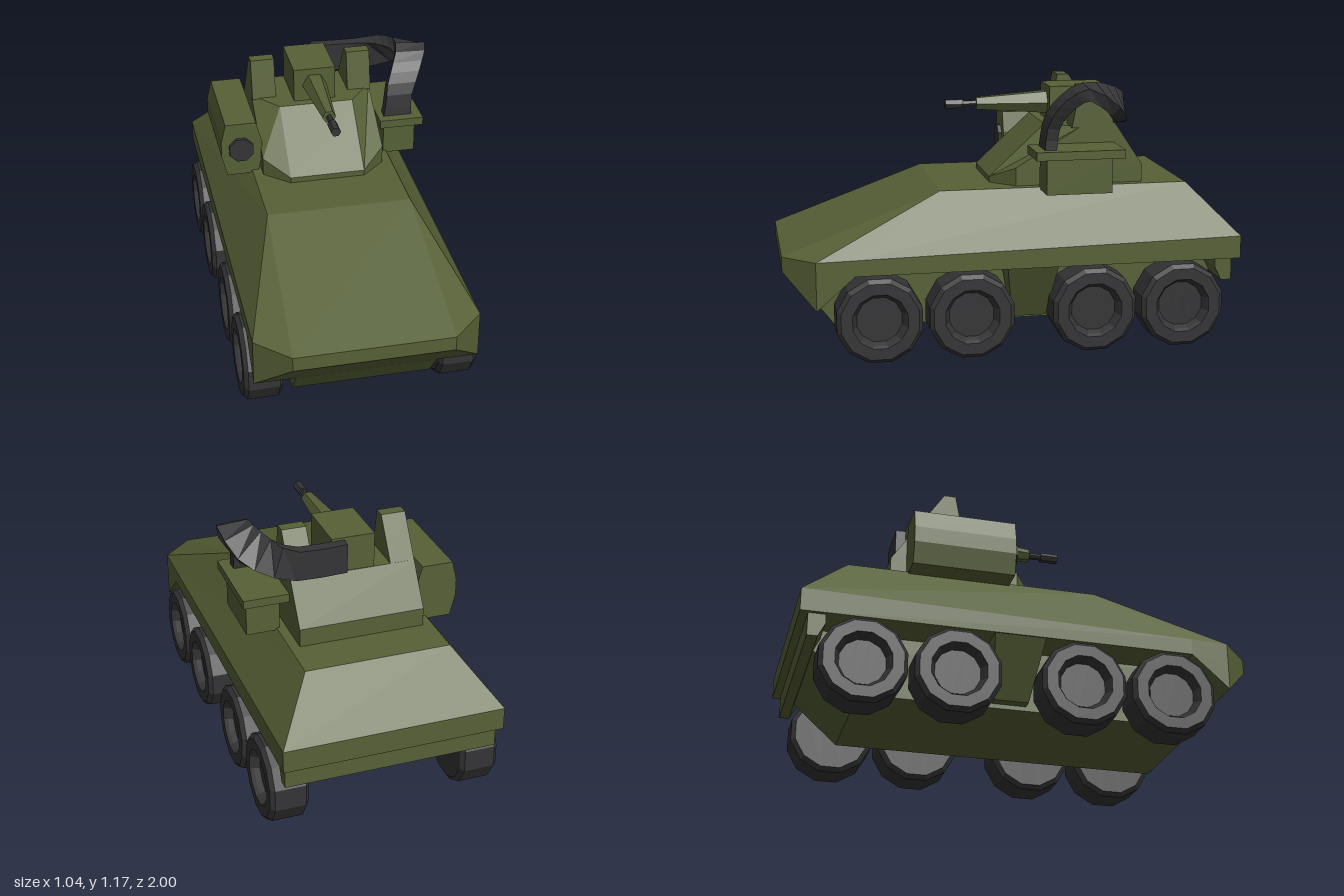
import * as THREE from 'three';

const green = new THREE.MeshStandardMaterial({ color: 0x566036, flatShading: true });
const dark = new THREE.MeshStandardMaterial({ color: 0x343436, flatShading: true });

// Skin a list of equal-length rings of [x, y, z], with both ends closed.
function loft(rings) {
  const tris = [], n = rings[0].length;
  const v = p => new THREE.Vector3(...p);
  const tri = (a, b, c) => {
    const t = new THREE.Triangle(v(a), v(b), v(c));
    if (t.getArea() > 1e-7) tris.push(t);
  };
  const quad = (a, b, c, d) => { tri(a, b, c); tri(a, c, d); };
  for (let i = 0; i + 1 < rings.length; i++) {
    for (let j = 0; j < n; j++) {
      const k = (j + 1) % n;
      quad(rings[i][j], rings[i][k], rings[i + 1][k], rings[i + 1][j]);
    }
  }
  // caps run as strips across each end ring
  const first = rings[0], last = rings[rings.length - 1];
  for (let j = 0; j < Math.ceil(n / 2) - 1; j++) {
    quad(first[j], first[n - 1 - j], first[n - 2 - j], first[j + 1]);
    quad(last[j], last[j + 1], last[n - 2 - j], last[n - 1 - j]);
  }
  // turn the skin outward
  const volume = tris.reduce((s, t) => s + t.a.dot(t.b.clone().cross(t.c)), 0);
  const pos = tris.flatMap(t => (volume > 0 ? [t.a, t.b, t.c] : [t.a, t.c, t.b])).flatMap(p => p.toArray());
  const geo = new THREE.BufferGeometry();
  geo.setAttribute('position', new THREE.Float32BufferAttribute(pos, 3));
  geo.computeVertexNormals();
  return geo;
}

// Complete a right-left symmetric ring from its +x half
const mirrored = half => [...half, ...half.slice().reverse().map(([x, y, z]) => [-x, y, z])];

// Regular ring of n points in the plane of x and y
const ringZ = (r, z, n, cx = 0, cy = 0, turn = 0) => Array.from({ length: n }, (_, i) => {
  const a = turn + i / n * Math.PI * 2;
  return [cx + r * Math.cos(a), cy + r * Math.sin(a), z];
});

// Slab between x0 and x1 with a side profile of [z, y]
function slab(profile, x0, x1) {
  const shape = new THREE.Shape(profile.map(([z, y]) => new THREE.Vector2(-z, y)));
  const geo = new THREE.ExtrudeGeometry(shape, { depth: x1 - x0, bevelEnabled: false });
  return geo.rotateY(Math.PI / 2).translate(x0, 0, 0);
}

// Box from its limits
function box(x0, x1, y0, y1, z0, z1) {
  return new THREE.BoxGeometry(x1 - x0, y1 - y0, z1 - z0)
    .translate((x0 + x1) / 2, (y0 + y1) / 2, (z0 + z1) / 2);
}

export function createModel() {
  const model = new THREE.Group();
  model.name = 'armouredVehicle';
  const body = new THREE.Group();
  body.name = 'body';
  body.position.x = -0.012;
  model.add(body);
  const add = (name, geo, mat = green) => {
    const mesh = new THREE.Mesh(geo, mat);
    mesh.name = name;
    body.add(mesh);
    return mesh;
  };

  // Upper hull: underside, nose corner, belt line and roof
  const nose = [0.342, 0.38, 1], skirt = [0.483, 0.38, 0.7], tail = [0.483, 0.38, -1];
  const roofFront = [0.318, 0.7, 0.315];
  add('upperHull', loft([
    [nose, [0.483, 0.235, 0.865], skirt, tail],
    [nose, [0.483, 0.336, 0.865], skirt, tail],
    [[0.342, 0.445, 1], [0.483, 0.447, 0.865], [0.483, 0.45, 0.7], [0.483, 0.48, -1]],
    [roofFront, roofFront, roofFront, [0.318, 0.7, -0.79]],
  ].map(mirrored)));

  // Lower hull and rear shelf
  add('lowerHull', slab([[0.7, 0.38], [0.864, 0.234], [0.77, 0.11], [-0.72, 0.11], [-0.92, 0.29], [-0.92, 0.38]], -0.304, 0.304));
  add('rearShelf', slab([[-0.89, 0.39], [-0.89, 0.34], [-0.92, 0.28], [-0.965, 0.28], [-0.965, 0.39]], -0.465, 0.465));

  // Tapered side braces between the wheel pairs
  for (const s of [-1, 1]) {
    add('sideBrace', loft([
      [[s * 0.28, 0.13, 0], [s * 0.35, 0.13, 0], [s * 0.35, 0.13, -0.15], [s * 0.28, 0.13, -0.15]],
      [[s * 0.28, 0.385, 0.045], [s * 0.48, 0.385, 0.045], [s * 0.48, 0.385, -0.18], [s * 0.28, 0.385, -0.18]],
    ]));
  }

  // Eight wheels with bevelled tyres and recessed hubs
  const tyre = [[0.17, 0.342], [0.19, 0.357], [0.19, 0.492], [0.172, 0.51], [0.122, 0.51], [0.112, 0.494], [0.1, 0.47]];
  const wheelGeo = loft(tyre.map(([r, x]) => ringZ(r, x, 12, 0, 0, Math.PI / 12))).rotateY(Math.PI / 2);
  for (const z of [0.6, 0.203, -0.337, -0.733]) {
    for (const s of [-1, 1]) {
      const wheel = add('wheel', wheelGeo, dark);
      wheel.position.set(0, 0.1835, z);
      if (s < 0) wheel.rotation.y = Math.PI;
    }
  }

  // Turret with faceted front and sloped rear
  add('turret', loft([
    [[0.168, 0.69, 0.07], [0.276, 0.69, -0.03], [0.276, 0.69, -0.6]],
    [[0.168, 0.725, 0.07], [0.276, 0.78, -0.03], [0.276, 0.78, -0.6]],
    [[0.168, 0.955, -0.18], [0.276, 0.955, -0.32], [0.276, 0.955, -0.483]],
  ].map(mirrored)));

  // Upright guards on both sides of the gun
  const guard = [[-0.28, 0.95], [-0.315, 1.13], [-0.367, 1.13], [-0.486, 0.95]];
  add('gunGuardLeft', slab(guard, 0.168, 0.276));
  add('gunGuardRight', slab(guard, -0.276, -0.168));

  // Gun: housing, six-sided sleeve, barrel and muzzle
  add('gunHousing', box(-0.095, 0.095, 0.95, 1.11, -0.48, -0.22));
  add('gunSleeve', loft([ringZ(0.057, -0.23, 6, 0, 1.03), ringZ(0.03, 0.1, 6, 0, 1.03)]));
  add('gunBarrel', loft([ringZ(0.014, 0.08, 6, 0, 1.03), ringZ(0.014, 0.17, 6, 0, 1.03)]), dark);
  add('muzzle', loft([ringZ(0.022, 0.16, 6, 0, 1.03), ringZ(0.022, 0.24, 6, 0, 1.03)]), dark);

  // Launcher pod on the right of the turret
  const pod = [[-0.434, 0.94], [-0.296, 0.94], [-0.271, 0.85], [-0.271, 0.765], [-0.292, 0.686], [-0.431, 0.686], [-0.455, 0.78], [-0.455, 0.852]];
  add('launcherPod', loft([-0.53, -0.08].map(z => pod.map(([x, y]) => [x, y, z]))));
  add('launcherTube', loft([-0.2, -0.063].map(z => ringZ(0.058, z, 8, -0.366, 0.815, Math.PI / 8))), dark);

  // Ammunition box and lid on the left
  add('ammoBox', box(0.305, 0.452, 0.69, 0.85, -0.42, -0.13));
  add('ammoBoxLid', box(0.277, 0.477, 0.845, 0.882, -0.47, -0.08));

  // Feed belt: a flat ribbon that twists from the lid to the gun
  const curve = pts => new THREE.CatmullRomCurve3(pts.map(p => new THREE.Vector3(...p)));
  const path = curve([[0.367, 0.87, -0.15], [0.382, 0.99, -0.165], [0.425, 1.08, -0.215], [0.462, 1.135, -0.295],
    [0.41, 1.085, -0.42], [0.28, 1.035, -0.49], [0.04, 1.035, -0.5]]);
  const across = curve([[0.065, 0, 0], [0.065, 0, 0], [0.068, 0, 0], [0.068, -0.005, 0],
    [0.052, -0.05, -0.02], [0.01, -0.065, 0], [0, -0.065, 0]]);
  const steps = 14;
  add('feedBelt', loft(Array.from({ length: steps + 1 }, (_, i) => {
    const t = i / steps, c = path.getPoint(t), w = across.getPoint(t);
    const d = path.getTangent(t).cross(w).setLength(0.026);
    return [[1, 1], [-1, 1], [-1, -1], [1, -1]].map(([a, b]) =>
      c.clone().addScaledVector(w, a).addScaledVector(d, b).toArray());
  })), dark);

  return model;
}
